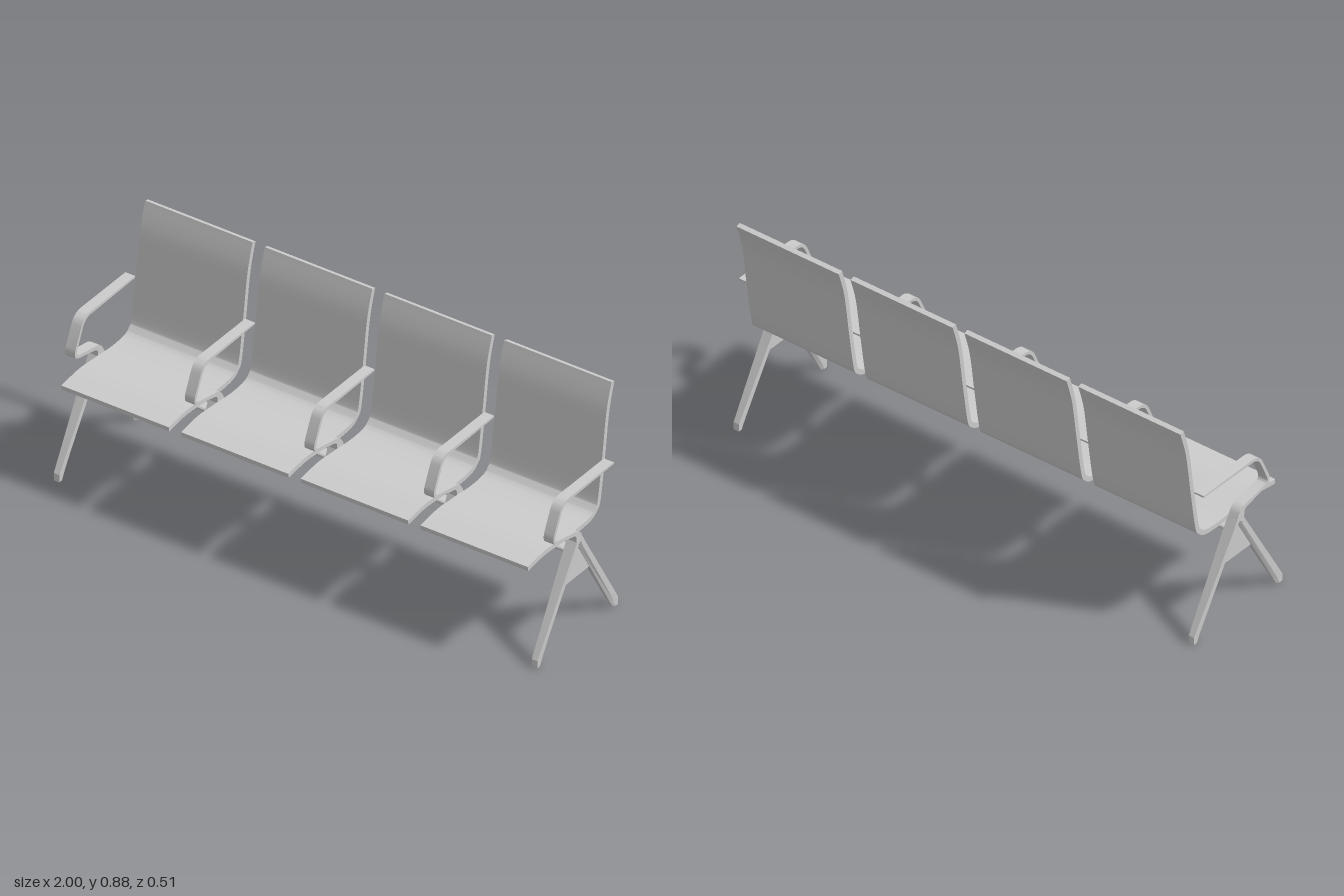
import * as THREE from 'three';
import { toCreasedNormals } from 'three/addons/utils/BufferGeometryUtils.js';

const material = new THREE.MeshStandardMaterial({ color: 0xcccccc });
const V = (z, y) => new THREE.Vector2(z, y);
const MID_Z = 0.0125; // plane the legs and rail are centred on

// Extrude a side profile of (z, y) points across x, centred on x = 0
function sideExtrude(points, width) {
  const geo = new THREE.ExtrudeGeometry(new THREE.Shape(points), {
    depth: width, bevelEnabled: false,
  });
  geo.translate(0, 0, -width / 2);
  geo.rotateY(-Math.PI / 2);
  return toCreasedNormals(geo, 0.7);
}

// Thicken a centre line into a closed band outline
function band(points, thickness) {
  const a = [], b = [];
  points.forEach((p, i) => {
    const dir = points[Math.min(i + 1, points.length - 1)].clone()
      .sub(points[Math.max(i - 1, 0)]).normalize();
    const n = V(-dir.y, dir.x).multiplyScalar(thickness(p, i) / 2);
    a.push(p.clone().add(n));
    b.unshift(p.clone().sub(n));
  });
  return a.concat(b);
}

// Join rings of [x, y, z] points, listed from bottom to top, and cap both ends
function loft(rings) {
  const pos = [];
  const tri = (...ps) => ps.forEach((p) => pos.push(...p));
  const n = rings[0].length;
  for (let r = 0; r < rings.length - 1; r++) {
    for (let i = 0; i < n; i++) {
      const j = (i + 1) % n;
      tri(rings[r][i], rings[r][j], rings[r + 1][j]);
      tri(rings[r][i], rings[r + 1][j], rings[r + 1][i]);
    }
  }
  const top = rings[rings.length - 1];
  for (let i = 1; i < n - 1; i++) {
    tri(rings[0][0], rings[0][i + 1], rings[0][i]);
    tri(top[0], top[i], top[i + 1]);
  }
  const geo = new THREE.BufferGeometry();
  geo.setAttribute('position', new THREE.Float32BufferAttribute(pos, 3));
  return toCreasedNormals(geo, 0.4);
}

function add(parent, name, geo, x = 0, y = 0, z = 0) {
  const mesh = new THREE.Mesh(geo, material);
  mesh.name = name;
  mesh.position.set(x, y, z);
  parent.add(mesh);
  return mesh;
}

// One-piece seat and back, bent from a single sheet
function seatGeometry() {
  const curve = new THREE.SplineCurve([
    V(0.255, 0.392), V(0.155, 0.403), V(0.05, 0.396), V(-0.04, 0.388),
    V(-0.115, 0.393), V(-0.148, 0.412), V(-0.165, 0.445), V(-0.19, 0.6),
    V(-0.215, 0.77), V(-0.245, 0.876),
  ]);
  return sideExtrude(band(curve.getPoints(54), () => 0.018), 0.44);
}

// Looped armrest band, widening where it drops into its bracket
function armGeometry() {
  const path = new THREE.Path();
  path.moveTo(-0.185, 0.596);
  path.lineTo(0.075, 0.595);
  path.quadraticCurveTo(0.112, 0.595, 0.127, 0.563);
  path.lineTo(0.16, 0.492);
  path.quadraticCurveTo(0.172, 0.46, 0.145, 0.455);
  path.lineTo(0.05, 0.435);
  path.quadraticCurveTo(0.027, 0.431, 0.02, 0.412);
  path.lineTo(0.011, 0.385);
  const thickness = (p, i) => {
    if (i === 0) return 0.007;
    return 0.012 + 0.026 * THREE.MathUtils.clamp((0.44 - p.y) / 0.04, 0, 1);
  };
  return sideExtrude(band(path.getPoints(8), thickness), 0.04);
}

// Tapered leg with a chamfered inner edge; offsets are measured from MID_Z
function legGeometry() {
  const sections = [ // y, outer, inner, half width
    [0, 0.2375, 0.2125, 0.011],
    [0.03, 0.2375, 0.195, 0.0115],
    [0.37, 0.032, 0, 0.021],
    [0.395, 0.018, 0, 0.021],
  ];
  return loft(sections.map(([y, o, i, w]) => {
    const m = i + (o - i) * 0.35;
    return [[-w, y, o], [w, y, o], [w, y, m],
      [w * 0.5, y, i], [-w * 0.5, y, i], [-w, y, m]];
  }));
}

export function createModel() {
  const model = new THREE.Group();
  model.name = 'fourSeatBench';

  // Seats
  const seatGeo = seatGeometry();
  for (const x of [-0.735, -0.245, 0.245, 0.735]) add(model, 'seatShell', seatGeo, x);

  // Armrests, with rail brackets between the seats
  const armGeo = armGeometry();
  const bracketGeo = sideExtrude([
    V(0.045, 0.334), V(0.05, 0.35), V(0.031, 0.392),
    V(-0.009, 0.392), V(-0.025, 0.35), V(-0.02, 0.334),
  ], 0.04);
  const lugGeo = new THREE.BoxGeometry(0.07, 0.008, 0.03);
  for (let i = -2; i <= 2; i++) {
    const x = i * 0.49;
    add(model, 'armrest', armGeo, x);
    if (Math.abs(i) < 2) {
      add(model, 'railBracket', bracketGeo, x);
      add(model, 'seatLug', lugGeo, x, 0.39, MID_Z);
    }
  }

  // Flat support rail
  const railShape = [
    V(-0.0225, -0.004), V(-0.018, -0.008), V(0.018, -0.008), V(0.0225, -0.004),
    V(0.0225, 0.004), V(0.018, 0.008), V(-0.018, 0.008), V(-0.0225, 0.004),
  ];
  add(model, 'supportRail', sideExtrude(railShape, 1.95), 0, 0.342, MID_Z);

  // End frames: a splayed pair of legs with a gusset plate
  const legGeo = legGeometry();
  const gussetGeo = sideExtrude([V(0, 0.375), V(-0.08, 0.24), V(0.08, 0.24)], 0.012);
  for (const side of [-1, 1]) {
    const frame = new THREE.Group();
    frame.name = side > 0 ? 'leftEndFrame' : 'rightEndFrame';
    frame.position.set(side * 0.979, 0, MID_Z);
    add(frame, 'frontLeg', legGeo);
    add(frame, 'backLeg', legGeo).scale.z = -1;
    add(frame, 'gussetPlate', gussetGeo);
    model.add(frame);
  }
  return model;
}
